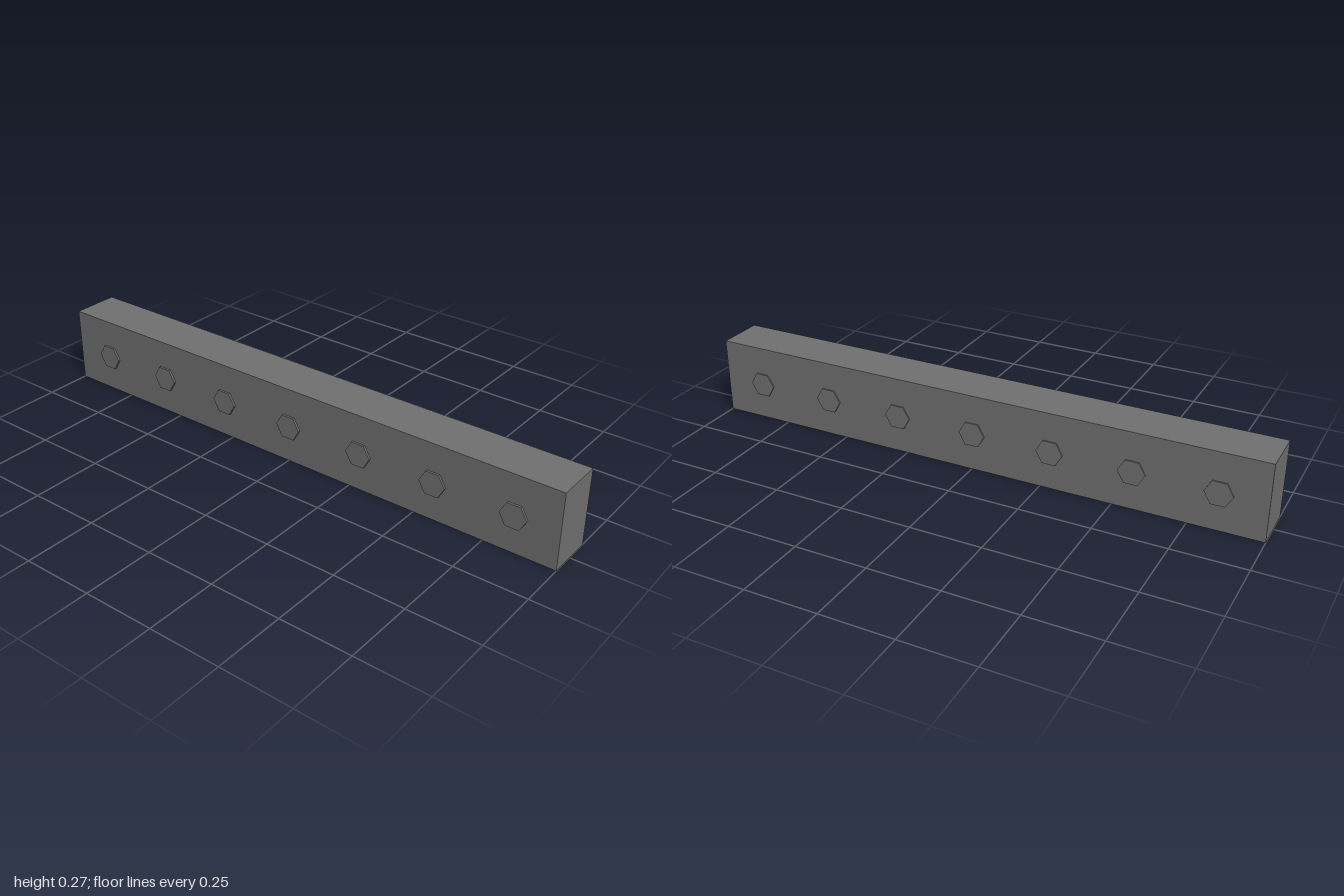
import * as THREE from 'three';

export function createModel() {
  const group = new THREE.Group();
  const material = new THREE.MeshStandardMaterial({ color: 0x707070, flatShading: true });

  // Main rectangular beam
  const height = 0.271, depth = 0.168, beamZ = -0.0013;
  const beam = new THREE.Mesh(new THREE.BoxGeometry(2, height, depth), material);
  beam.name = 'beam';
  beam.position.set(0, height / 2, beamZ);
  group.add(beam);

  // Hexagonal bolt heads, corners pointing along x, partly sunk into the beam
  const headLength = 0.02;
  const headGeometry = new THREE.CylinderGeometry(0.047, 0.047, headLength, 6)
    .rotateY(Math.PI / 6)
    .rotateX(Math.PI / 2);

  for (const x of [-0.843, -0.562, -0.281, 0, 0.285, 0.565, 0.847]) {
    for (const side of [1, -1]) {
      const head = new THREE.Mesh(headGeometry, material);
      head.name = side > 0 ? 'frontBoltHead' : 'backBoltHead';
      head.position.set(x, 0.1305, side * (0.09 - headLength / 2));
      group.add(head);
    }
  }
  return group;
}
